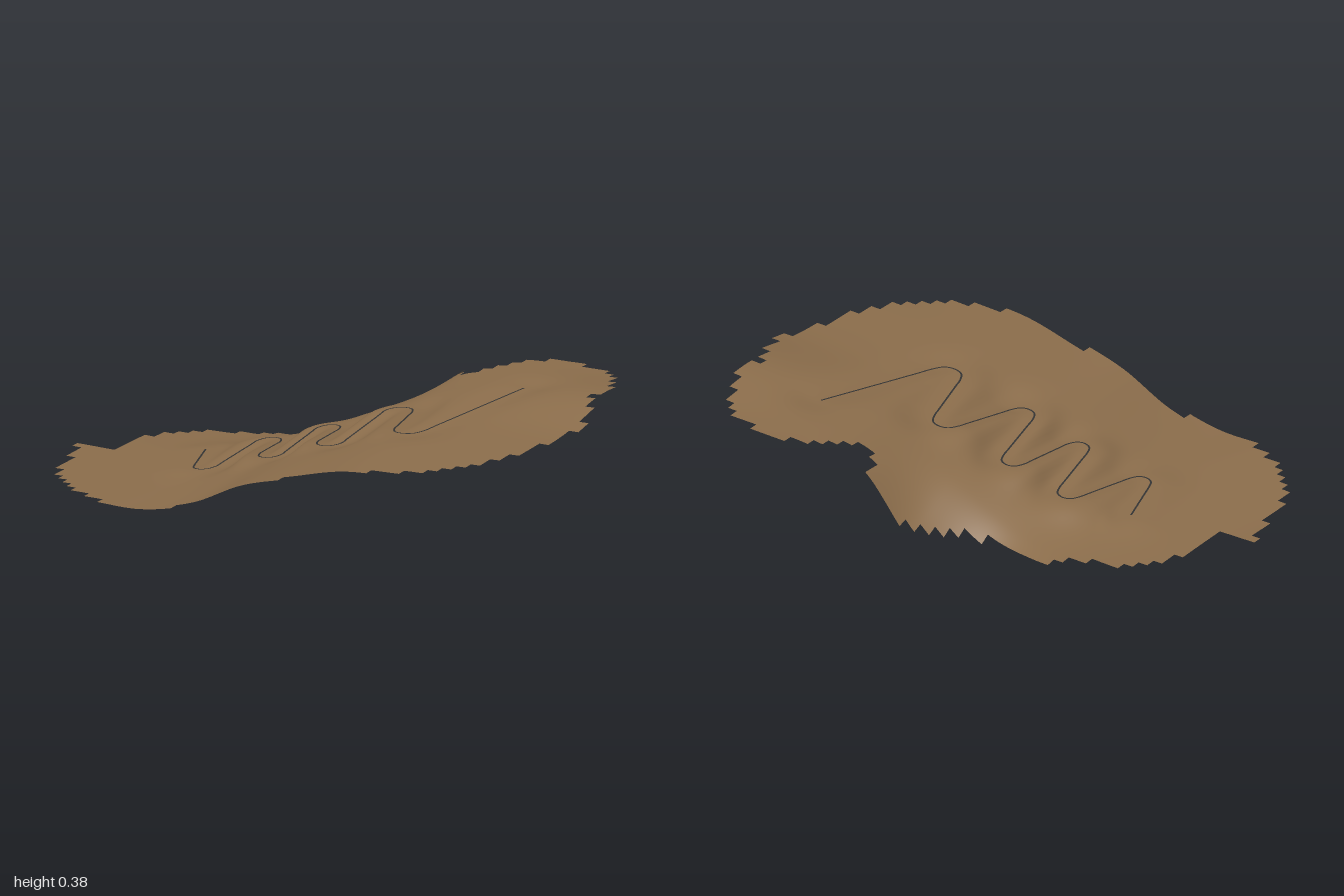
import * as THREE from 'three';

const CELL = 1 / 26, SUB = 3, Z0 = -19 / 26;

// Height profiles, west to east (x = -1..1), from back (z = -0.7) to front (z = 0.7)
const PROFILES = [
  [.03, .02, .005, -.05, -.11, .06, .295, .345, .355, .358, .365],
  [.03, .017, .017, .025, .08, .185, .275, .335, .36, .378, .39],
  [.035, .03, .035, .07, .13, .2, .26, .31, .325, .333, .335],
  [.035, .038, .038, .055, .11, .19, .25, .3, .312, .318, .322],
  [.035, .045, .045, .045, .09, .185, .24, .288, .3, .305, .31],
];

// Stepped outline: first and last grid column of each row, back to front
const WEST = [39, 37, 27, 26, 25, 24, 23, 21, 14, 13, 11, 8, 7, 6, 5, 5, 4, 4, 4, 4, 4, 4,
  0, 1, 1, 1, 2, 2, 2, 2, 3, 3, 4, 5, 6, 7, 9, 11];
const EAST = [43, 46, 47, 48, 48, 49, 49, 50, 50, 50, 49, 50, 50, 51, 51, 51, 52, 52, 51, 51, 51, 51,
  50, 50, 50, 50, 49, 49, 48, 48, 47, 46, 45, 44, 42, 39, 30, 19];
const NOTCH = { 2: [31, 36], 3: [31, 35], 4: [32, 34] };

// Hairpin turns: x, z, half width, height
const TURNS = [
  [-.42, .25, .045, .06], [-.30, -.11, .047, .1], [-.165, .22, .045, .135], [-.07, -.14, .046, .175],
  [.07, .2, .05, .21], [.2, -.185, .055, .27], [.38, .165, .06, .295],
];

function makeRoadCurve() {
  const pts = [new THREE.Vector3(-.53, .05, 0)];
  // Straight leg to the given point
  const leg = (end) => {
    const start = pts[pts.length - 1];
    pts.push(start.clone().lerp(end, .15), start.clone().lerp(end, .85), end);
  };
  for (const [x, z, w, y] of TURNS) {
    const s = Math.sign(z);
    leg(new THREE.Vector3(x - w, y - .004, z - s * .05));
    pts.push(
      new THREE.Vector3(x - w * .6, y - .002, z - s * .011),
      new THREE.Vector3(x, y, z),
      new THREE.Vector3(x + w * .6, y + .002, z - s * .011),
      new THREE.Vector3(x + w, y + .004, z - s * .05));
  }
  leg(new THREE.Vector3(.58, .345, -.39));
  return new THREE.CatmullRomCurve3(pts, false, 'centripetal');
}

// Smooth interpolation through evenly spaced values
function spline(values, t) {
  const last = values.length - 1;
  const i = Math.min(Math.max(Math.floor(t), 0), last - 1), f = t - i;
  const at = (k) => values[Math.min(Math.max(k, 0), last)];
  const [a, b, c, d] = [at(i - 1), at(i), at(i + 1), at(i + 2)];
  return b + .5 * f * (c - a + f * (2 * a - 5 * b + 4 * c - d + f * (3 * (b - c) + d - a)));
}

// Natural slope, levelled into benches and gullies beside the road
function makeHeight(samples) {
  return (x, z) => {
    const base = spline(PROFILES.map((p) => spline(p, (x + 1) * 5)), (z + .7) / .35);
    let near = Infinity, sum = 0, total = 0;
    for (const p of samples) {
      const d2 = (p.x - x) ** 2 + (p.z - z) ** 2;
      const w = 1 / (d2 + 1e-4) ** 3;
      near = Math.min(near, d2);
      sum += w * p.y;
      total += w;
    }
    const blend = .95 * Math.exp(-near / .009);
    return Math.max(.003, base + (sum / total - base) * blend);
  };
}

function terrainGeometry(height) {
  const positions = [], index = [], ids = new Map();
  const vertex = (i, j) => {
    const key = i * 1000 + j;
    if (!ids.has(key)) {
      const x = -1 + i * CELL / SUB, z = Z0 + j * CELL / SUB;
      ids.set(key, positions.length / 3);
      positions.push(x, height(x, z), z);
    }
    return ids.get(key);
  };
  for (let j = 0; j < WEST.length * SUB; j++) {
    const row = Math.floor(j / SUB), gap = NOTCH[row];
    for (let i = WEST[row] * SUB; i < EAST[row] * SUB; i++) {
      if (gap && i >= gap[0] * SUB && i < gap[1] * SUB) continue;
      const a = vertex(i, j), b = vertex(i + 1, j), c = vertex(i, j + 1), d = vertex(i + 1, j + 1);
      index.push(a, c, b, b, c, d);
    }
  }
  const g = new THREE.BufferGeometry();
  g.setAttribute('position', new THREE.Float32BufferAttribute(positions, 3));
  g.setIndex(index);
  g.computeVertexNormals();
  return g;
}

// Narrow ribbon draped over the ground
function roadGeometry(curve, height, width) {
  const positions = [], index = [], n = 400;
  for (let i = 0; i <= n; i++) {
    const p = curve.getPointAt(i / n), t = curve.getTangentAt(i / n);
    const len = Math.hypot(t.x, t.z), sx = -t.z / len * width / 2, sz = t.x / len * width / 2;
    for (const s of [-1, 1]) {
      const x = p.x + s * sx, z = p.z + s * sz;
      positions.push(x, height(x, z) + .002, z);
    }
    if (i < n) {
      const k = i * 2;
      index.push(k, k + 2, k + 1, k + 1, k + 2, k + 3);
    }
  }
  const g = new THREE.BufferGeometry();
  g.setAttribute('position', new THREE.Float32BufferAttribute(positions, 3));
  g.setIndex(index);
  g.computeVertexNormals();
  return g;
}

export function createModel() {
  const group = new THREE.Group();
  const earth = new THREE.MeshStandardMaterial({ color: 0x8b6d4b, side: THREE.DoubleSide });
  earth.name = 'earth';
  const asphalt = new THREE.MeshStandardMaterial({ color: 0x333333, side: THREE.DoubleSide });
  asphalt.name = 'asphalt';

  const add = (name, geometry, material) => {
    const mesh = new THREE.Mesh(geometry, material);
    mesh.name = name;
    group.add(mesh);
    return mesh;
  };

  const curve = makeRoadCurve();
  const height = makeHeight(curve.getSpacedPoints(300));
  add('hillside', terrainGeometry(height), earth);
  add('road', roadGeometry(curve, height, .007), asphalt);

  // Tapered pits hanging below the hillside: x, z, width, depth, bottom, taper
  const pits = [
    [.26, -.14, .03, .08, .19, .8], [.293, .078, .015, .03, .205, .5],
    [-.12, .15, .015, .025, .13, .8], [0, -.068, .015, .025, .17, .8],
  ];
  for (const [x, z, w, d, bottom, taper] of pits) {
    const top = height(x, z) - .008, h = Math.max(top - bottom, .015);
    const g = new THREE.BoxGeometry(w, h, d), p = g.attributes.position;
    for (let i = 0; i < p.count; i++) {
      if (p.getY(i) < 0) p.setXYZ(i, p.getX(i) * taper, p.getY(i), p.getZ(i) * taper);
    }
    g.computeVertexNormals();
    add('pit', g, earth).position.set(x, top - h / 2, z);
  }
  return group;
}
